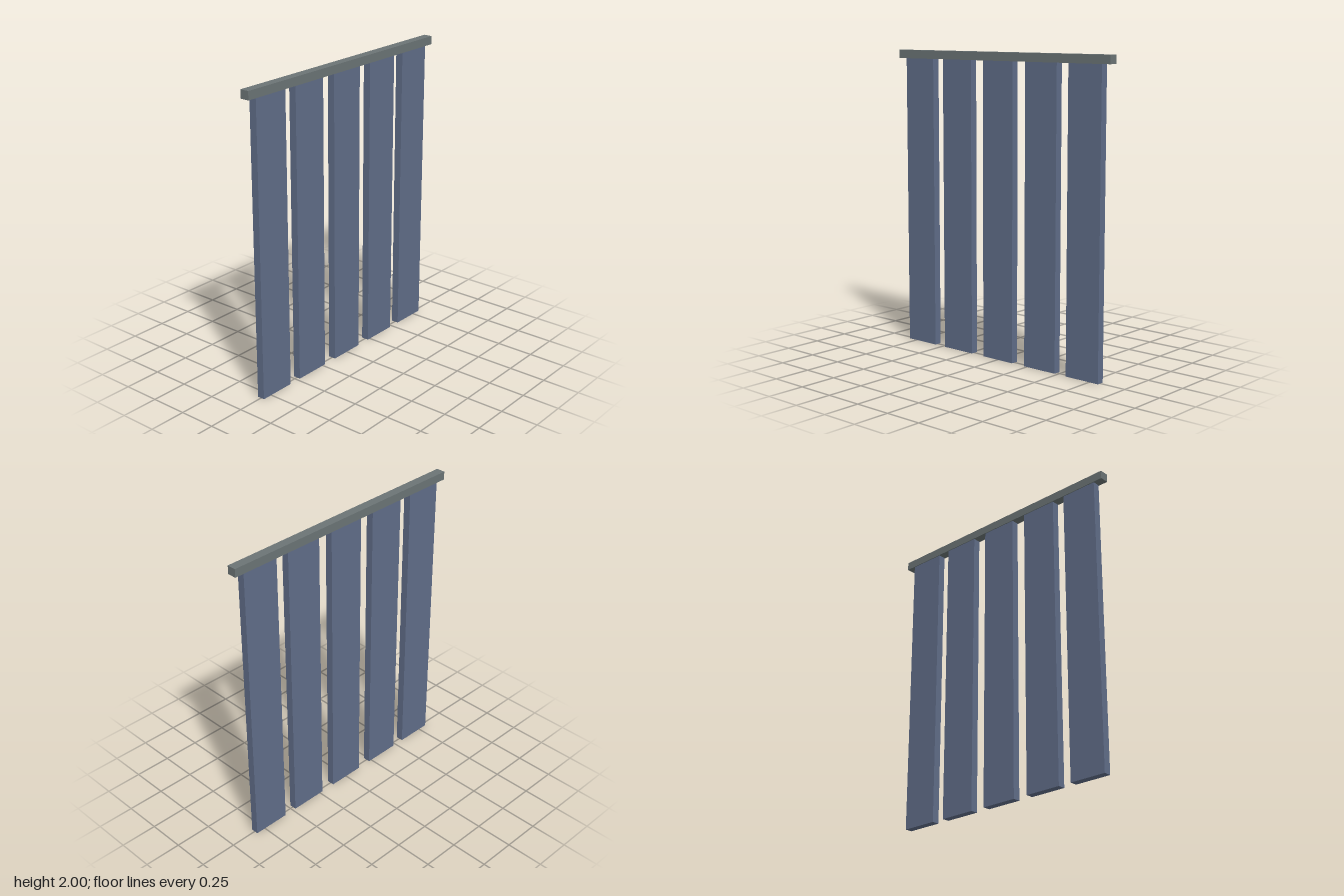
import * as THREE from 'three';

export function createModel() {
  const model = new THREE.Group();
  const railMaterial = new THREE.MeshStandardMaterial({ color: 0x6b7475 });
  const slatMaterial = new THREE.MeshStandardMaterial({ color: 0x606d88 });

  const addBox = (name, material, [w, h, d], [x, y, z]) => {
    const mesh = new THREE.Mesh(new THREE.BoxGeometry(w, h, d), material);
    mesh.name = name;
    mesh.position.set(x, y, z);
    model.add(mesh);
  };

  // Top rail carrying the strips
  const railHeight = 0.055;
  addBox('topRail', railMaterial, [1.764, railHeight, 0.06], [0, 2 - railHeight / 2, 0]);

  // Five hanging strips, reaching up to the underside of the rail
  const stripHeight = 2 - railHeight;
  [-0.692, -0.353, 0, 0.353, 0.692].forEach((x, i) => {
    addBox(`hangingStrip${i + 1}`, slatMaterial, [0.25, stripHeight, 0.05], [x, stripHeight / 2, 0]);
  });

  return model;
}
